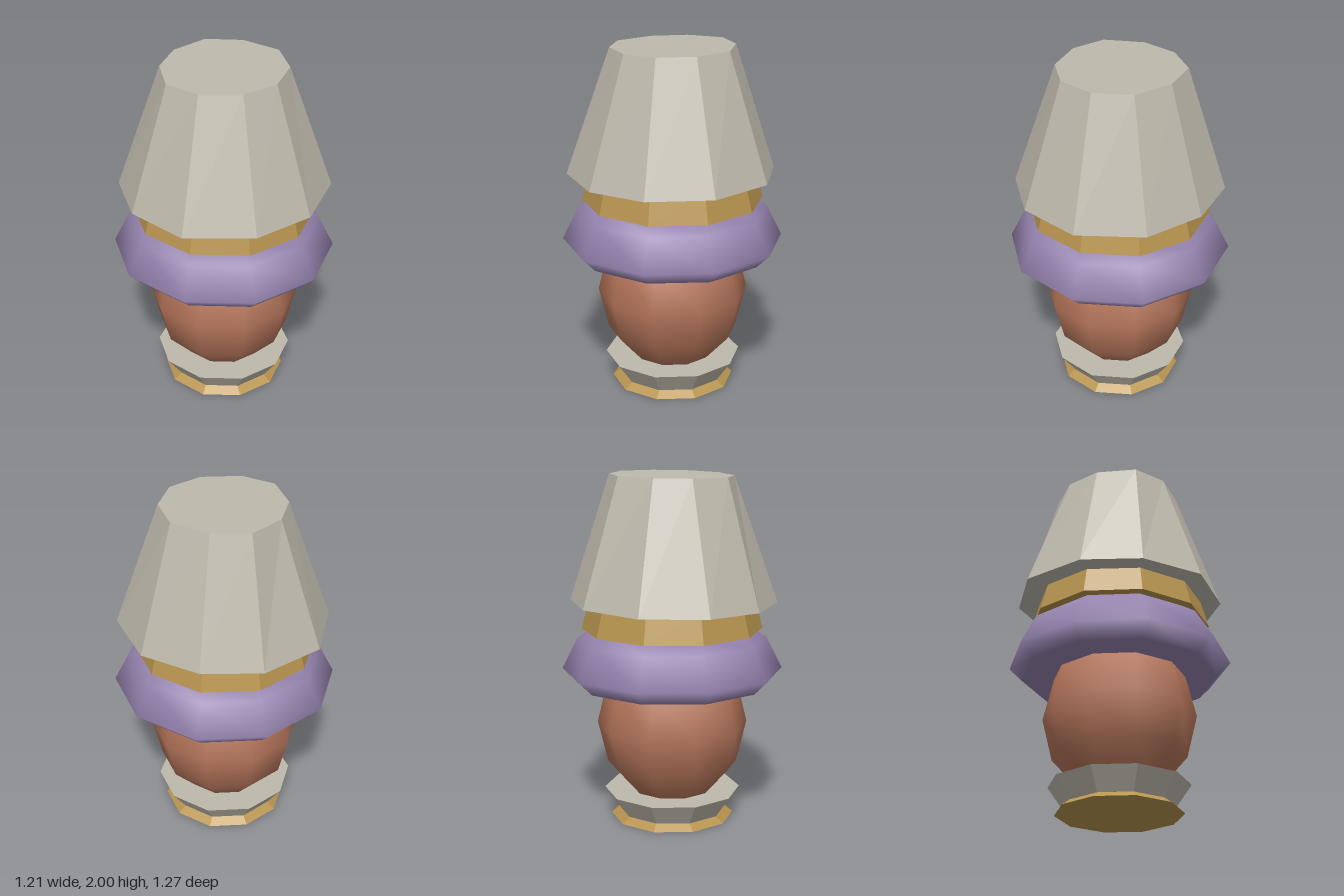
import * as THREE from 'three';

const SIDES = 10;
const stone = new THREE.MeshStandardMaterial({ color: 0xbeb9ac });
stone.name = 'stoneGrey';
const brass = new THREE.MeshStandardMaterial({ color: 0xb8944f });
brass.name = 'brass';
const violet = new THREE.MeshStandardMaterial({ color: 0x9684b0 });
violet.name = 'violet';
const clay = new THREE.MeshStandardMaterial({ color: 0xb5755a });
clay.name = 'clay';

// Give every face its own flat normal
function faceted(geometry) {
  const flat = geometry.toNonIndexed();
  flat.computeVertexNormals();
  return flat;
}

// Ten-sided tapered ring with its base at y0 and its top at y1
function frustum(rTop, rBottom, y0, y1) {
  return new THREE.CylinderGeometry(rTop, rBottom, y1 - y0, SIDES).translate(0, (y0 + y1) / 2, 0);
}

// Slightly uneven corners of the shade as [x, z], starting at the front and going to +x
const shadeTop = [[0, 0.353], [0.207, 0.287], [0.346, 0.112], [0.332, -0.12], [0.215, -0.302],
  [0, -0.348], [-0.2, -0.28], [-0.35, -0.105], [-0.335, 0.098], [-0.197, 0.283]];
const shadeBottom = [[0, 0.594], [0.36, 0.488], [0.576, 0.167], [0.55, -0.19], [0.362, -0.475],
  [0, -0.608], [-0.357, -0.475], [-0.556, -0.195], [-0.577, 0.175], [-0.337, 0.487]];

function shadeGeometry() {
  const geometry = frustum(0.35, 0.6, 1.275, 1.992);
  const p = geometry.attributes.position;
  for (let i = 0; i < p.count; i++) {
    const x = p.getX(i), y = p.getY(i), z = p.getZ(i);
    if (Math.hypot(x, z) < 0.01) continue;
    const step = Math.round(Math.atan2(x, z) / (Math.PI * 2 / SIDES));
    const [nx, nz] = (y > 1.6 ? shadeTop : shadeBottom)[(step + SIDES) % SIDES];
    p.setXYZ(i, nx, y + 0.017 * nx, nz);
  }
  return faceted(geometry);
}

export function createModel() {
  const group = new THREE.Group();
  group.name = 'tableLamp';
  const add = (name, geometry, material) => {
    const mesh = new THREE.Mesh(geometry, material);
    mesh.name = name;
    group.add(mesh);
  };

  // Foot and dish
  add('foot', faceted(frustum(0.295, 0.357, 0, 0.045)), brass);
  add('dish', faceted(frustum(0.396, 0.31, 0.035, 0.16)), stone);
  add('stem', faceted(frustum(0.2, 0.2, 0.01, 0.178)), stone);

  // Round body, smooth but with few sides
  const body = new THREE.SphereGeometry(0.435, SIDES, 6);
  body.rotateY(Math.PI / 2).scale(1, 1.11, 1).translate(0, 0.56, 0);
  add('body', body, clay);

  // Soft cushion ring with a flat underside
  const profile = [[0.2, 0.8], [0.555, 0.8], [0.635, 0.88], [0.545, 1.06], [0.45, 1.125], [0, 1.125]];
  add('cushion', new THREE.LatheGeometry(profile.map(([r, y]) => new THREE.Vector2(r, y)), SIDES), violet);

  // Collar and shade
  add('collar', faceted(frustum(0.475, 0.52, 1.115, 1.285)), brass);
  add('shade', shadeGeometry(), stone);

  return group;
}
